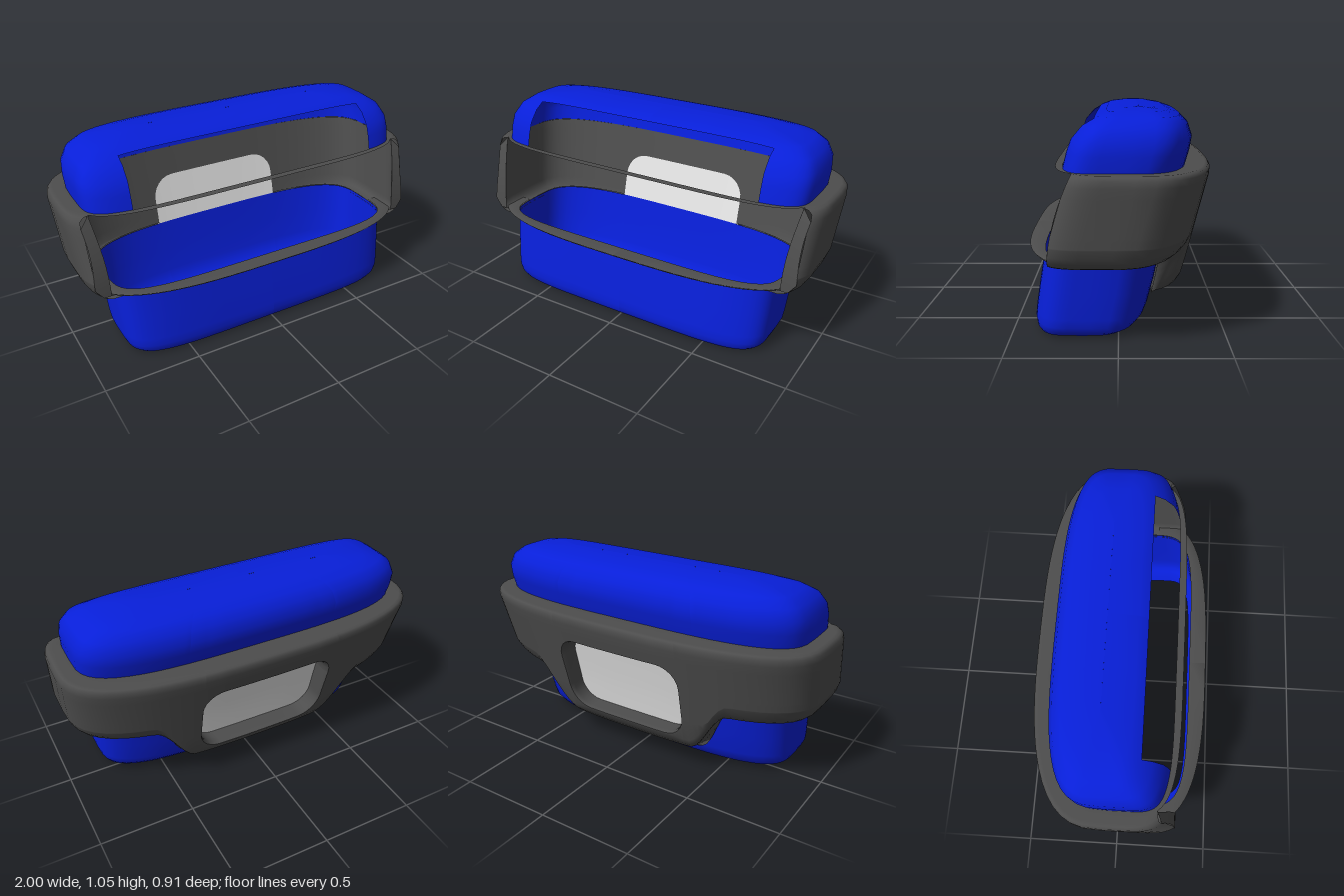
import * as THREE from 'three';

const mat = (name, color) => new THREE.MeshStandardMaterial({ name, color, side: THREE.DoubleSide });
const NB = 2.8, NI = 3.4;              // roundness at the back: outer wall, inner outlines
const HW = 0.38, R = 0.12, TOP = 0.64, BOT = 0.21; // window opening
const lerp = THREE.MathUtils.lerp;
const angleOf = (cx, n = NB) => Math.sign(cx) * Math.asin(Math.pow(Math.abs(cx), n / 2));
const backX = (phi) => Math.sign(phi) * Math.pow(Math.abs(Math.sin(phi)), 2 / NB);

// Columns around the body: angle 0 is the middle of the back, +-PI the middle of the front
const holeXs = [0, 0.09, 0.18];
for (let i = 0; i <= 6; i++) holeXs.push(HW - R + R * Math.sin((i * Math.PI) / 12));
const half = [...holeXs, 0.41, 0.44, 0.47, 0.5, 0.53, 0.56, 0.59, 0.62, 0.66, 0.72].map((x) => angleOf(x));
const last = half[half.length - 1];
for (let i = 1; i <= 7; i++) half.push(lerp(last, Math.PI / 2, i / 7));
for (let i = 1; i <= 20; i++) half.push(Math.PI / 2 * (1 + i / 20));
const mirrored = (list) => [...list.slice(1).reverse().map((v) => -v), ...list];
const cols = mirrored(half);
const holeCols = mirrored(holeXs);

// Point on a rounded outline [y, half width, front z, back z]
function at([y, a, zf, zb], phi, nf, nb) {
  const s = Math.sin(phi), c = Math.cos(phi), n = c >= 0 ? nb : nf;
  const x = a * Math.sign(s) * Math.pow(Math.abs(s), 2 / n);
  const z = (zf + zb) / 2 - ((zf - zb) / 2) * Math.sign(c) * Math.pow(Math.abs(c), 2 / n);
  return new THREE.Vector3(x, y, z);
}
const ring = (o, nf, nb = NI) => cols.map((p) => at(o, p, nf, nb));

// Outer, inner and lining outlines of the band at height y
const outer = (y, inset = 0) => [y, 1 - (0.74 - y) * 0.09 - inset,
  0.305 + (0.79 - y) * 0.36 - inset, -0.455 + (0.74 - y) * 0.245 + inset];
function inner(y, dz = 0) {
  const t = (y - 0.37) / 0.42;
  if (t < 0) return [y, 0.82, 0.365, -0.225 + (0.37 - y) * 0.2 + dz];
  return [y, lerp(0.82, 0.91, t), lerp(0.365, 0.265, t), lerp(-0.225, -0.33, t) + dz];
}
function lining(y) {
  const [, a, zf, zb] = inner(y);
  return [y, Math.max(a, lerp(0.87, 0.91, (y - 0.37) / 0.42)), zf + 0.03, zb];
}
const onInner = (x, y, dz) => {
  const o = inner(y, dz);
  return at(o, angleOf(x / o[1], NI), 5, NI);
};
const frontCut = (y) => 0.31 - 0.07 * (y - 0.4) - 0.54 * (y - 0.4) ** 2;

// Surface through rows of points
function loft(rows, skip = () => false) {
  const w = rows[0].length, index = [];
  for (let r = 0; r < rows.length - 1; r++) {
    for (let c = 0; c < w - 1; c++) {
      if (skip(r, c)) continue;
      const i = r * w + c;
      index.push(i, i + 1, i + w, i + 1, i + w + 1, i + w);
    }
  }
  const g = new THREE.BufferGeometry().setFromPoints(rows.flat());
  g.setIndex(index);
  g.computeVertexNormals();
  return g;
}

// Keep the pieces of a surface lying in any of the regions (lists of functions, inside when >= 0)
function clip(geo, regions) {
  const g = geo.toNonIndexed(), P = g.attributes.position, N = g.attributes.normal;
  const pos = [], nor = [];
  for (let i = 0; i < P.count; i += 3) {
    const tri = [0, 1, 2].map((k) => ({
      p: new THREE.Vector3().fromBufferAttribute(P, i + k),
      n: new THREE.Vector3().fromBufferAttribute(N, i + k) }));
    for (const region of regions) {
      let poly = tri;
      for (const f of region) {
        const out = [];
        poly.forEach((A, k) => {
          const B = poly[(k + 1) % poly.length], fa = f(A.p), fb = f(B.p);
          if (fa >= 0) out.push(A);
          if ((fa >= 0) !== (fb >= 0)) {
            const t = fa / (fa - fb);
            out.push({ p: A.p.clone().lerp(B.p, t), n: A.n.clone().lerp(B.n, t) });
          }
        });
        poly = out;
      }
      for (let k = 1; k < poly.length - 1; k++) {
        for (const v of [poly[0], poly[k], poly[k + 1]]) {
          pos.push(...v.p.toArray());
          nor.push(...v.n.toArray());
        }
      }
    }
  }
  const res = new THREE.BufferGeometry();
  res.setAttribute('position', new THREE.Float32BufferAttribute(pos, 3));
  res.setAttribute('normal', new THREE.Float32BufferAttribute(nor, 3));
  return res;
}

// Window edges above and below a given x
function windowEdges(cx) {
  const d = Math.min(R, Math.max(0, Math.abs(cx) - (HW - R)));
  const k = R - Math.sqrt(Math.max(0, R * R - d * d));
  return [TOP - k, BOT + k];
}

// One column of the outer band wall, dipping into a tongue at the back
function wallColumn(phi) {
  const back = Math.cos(phi) > 0, cx = backX(phi);
  const dip = back ? 1 - THREE.MathUtils.smoothstep(Math.abs(cx), 0.4, 0.64) : 0;
  const yB = 0.37 - 0.27 * dip;
  let [yt, yb] = windowEdges(back ? cx : 1);
  yb = Math.max(yb, yB + 0.105);
  const spec = [[0.79, 0.035], [0.785, 0.018], [0.77, 0.005], [0.74, 0], [0.69, 0]];
  for (let i = 0; i <= 4; i++) spec.push([lerp(yt, yb, i / 4), 0]);
  for (const [h, i] of [[0.1, 0], [0.06, 0.01], [0.03, 0.025], [0.008, 0.045], [0, 0.06]]) {
    spec.push([yB + h, i * (1 + 0.6 * dip)]);
  }
  return [at(inner(0.79), phi, 6, NI), ...spec.map(([y, i]) => at(outer(y, i), phi, 5, NB)),
    at(inner(yB), phi, 5, NI), at(inner(0.37), phi, 5, NI)];
}

export function createModel() {
  const group = new THREE.Group();
  const blue = mat('blue', 0x081fd9), grey = mat('dark grey', 0x4d4d4d), pale = mat('pale grey', 0xe6e6e6);
  const add = (name, geo, m) => {
    const mesh = new THREE.Mesh(geo, m);
    mesh.name = name;
    group.add(mesh);
  };

  // Domed cap with an open front
  const cap = loft([
    [0.79, 0.91, 0.265, -0.33], [0.86, 0.915, 0.247, -0.35], [0.92, 0.91, 0.225, -0.36],
    [0.98, 0.88, 0.175, -0.34], [1.02, 0.82, 0.11, -0.3], [1.04, 0.72, 0.06, -0.24],
    [1.052, 0.6, -0.02, -0.17], [1.055, 0.5, -0.095, -0.0951],
  ].map((o) => ring(o, 6)));
  add('cap', clip(cap, [
    [(p) => 0.11 - p.z],
    [(p) => p.z - 0.11, (p) => p.x - 0.7],
    [(p) => p.z - 0.11, (p) => -0.7 - p.x],
  ]), blue);

  // Tapered base, open underneath
  add('base', loft([
    [0.385, 0.822, 0.363, -0.222], [0.22, 0.812, 0.39, -0.19], [0.1, 0.803, 0.408, -0.16],
    [0.06, 0.798, 0.412, -0.145], [0.03, 0.785, 0.408, -0.12], [0.014, 0.765, 0.4, -0.09],
    [0.006, 0.74, 0.388, -0.055], [0.004, 0.7, 0.375, -0.005],
  ].map((o) => ring(o, 5))), blue);

  // Band wall with tongue and window opening
  const columns = cols.map(wallColumn);
  const rows = columns[0].map((_, r) => columns.map((c) => c[r]));
  const inHole = (phi) => Math.cos(phi) > 0 && Math.abs(backX(phi)) < HW + 1e-4;
  const wall = loft(rows, (r, c) => r >= 6 && r < 10 && inHole(cols[c]) && inHole(cols[c + 1]));
  const behindCut = [[(p) => frontCut(p.y) - p.z]];
  add('bandWall', clip(wall, behindCut), grey);

  // Inner face of the band, with a small ledge above the base
  const heights = Array.from({ length: 9 }, (_, i) => 0.39 + i * 0.05);
  add('bandLining', clip(loft([ring(inner(0.385), 5), ...heights.map((y) => ring(lining(y), 8))]), behindCut), grey);

  // Front ends of the band arms
  const xAt = ([, a, zf, zb], z, n) =>
    a * Math.pow(1 - Math.pow(Math.abs((z - (zf + zb) / 2) / ((zf - zb) / 2)), n), 1 / n);
  for (const s of [1, -1]) {
    const ends = heights.map((y) => {
      const z = frontCut(y), inset = y > 0.78 ? 0.035 : y < 0.4 ? 0.03 : 0;
      return [xAt(lining(y), z, 8), xAt(outer(y, inset), z, 5)].map((x) => new THREE.Vector3(s * x, y, z));
    });
    add(s > 0 ? 'leftArmEnd' : 'rightArmEnd', loft(ends), grey);
  }

  // Thin rails above and below the front opening
  add('topRail', clip(loft([ring(inner(0.79), 6), ring([0.79, 0.935, 0.303, -0.41], 5)]), [[(p) => p.z - 0.1]]), grey);
  add('bottomLip', clip(loft([
    ring(inner(0.37), 5), ring([0.37, 0.9, 0.41, -0.33], 3.1), ring([0.378, 0.92, 0.435, -0.33], 3.1),
    ring([0.395, 0.93, 0.452, -0.33], 3.1), ring(inner(0.391), 5),
  ]), [[(p) => p.z - 0.15]]), grey);

  // Sloping reveal around the window
  const outline = [
    ...holeCols.map((x) => [x, windowEdges(x)[0]]),
    ...holeCols.map((x) => [-x, windowEdges(x)[1]]),
  ];
  outline.push(outline[0]);
  const mid = (TOP + BOT) / 2;
  const reveal = [[1, 0], [0.985, 0.08], [0.97, 0.25], [0.96, 1]].map(([k, depth]) => outline.map(([x, y]) => {
    const yy = mid + (y - mid) * k;
    return at(outer(yy), angleOf(x * k), 5, NB).lerp(onInner(x * k, yy, -0.028), depth);
  }));
  add('windowReveal', loft(reveal), grey);

  // Window panel, seen from outside and from inside
  const panel = (dz, floor) => loft([0, 0.25, 0.5, 0.75, 1].map((t) => holeCols.map((x) => {
    const [yt, yb] = windowEdges(x);
    return onInner(x, lerp(yt, Math.max(yb, floor), t), dz);
  })));
  add('windowOutside', panel(-0.03, 0), pale);
  add('windowInside', panel(0.004, 0.375), pale);
  return group;
}
